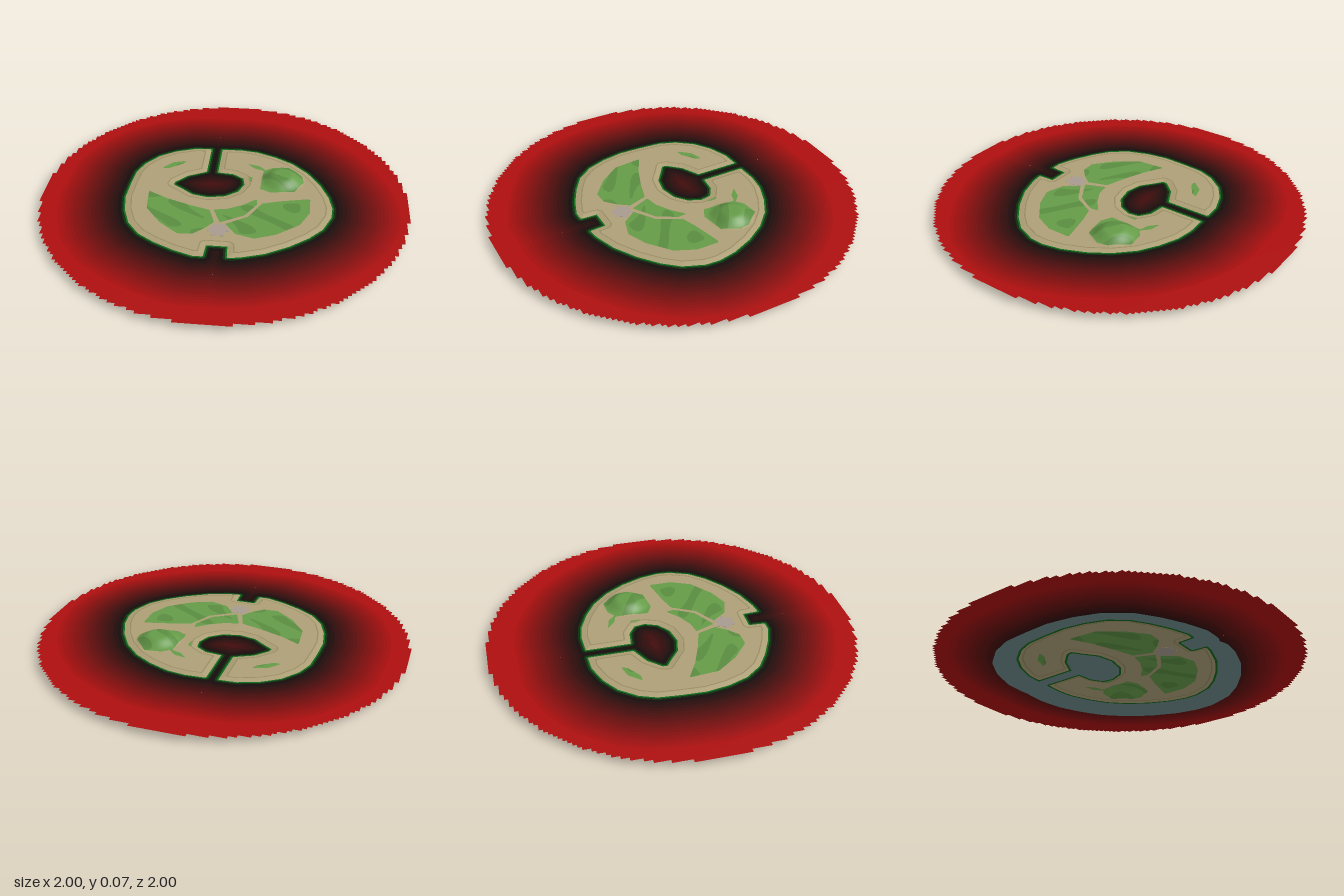
import * as THREE from 'three';

// Island coastline as [x, z], including the back channel, lagoon and front dock notch
const COAST = [
  [-0.06, -0.485], [0.05, -0.49], [0.15, -0.475], [0.26, -0.43], [0.36, -0.37], [0.45, -0.28], [0.52, -0.17],
  [0.57, -0.05], [0.59, 0.05], [0.585, 0.13], [0.54, 0.24], [0.47, 0.32], [0.37, 0.4], [0.25, 0.47],
  [0.13, 0.51], [0.065, 0.52], [0.06, 0.43], [-0.05, 0.43], [-0.055, 0.52], [-0.11, 0.52], [-0.21, 0.485],
  [-0.32, 0.43], [-0.41, 0.37], [-0.48, 0.28], [-0.52, 0.17], [-0.54, 0.05], [-0.535, -0.08], [-0.525, -0.2],
  [-0.49, -0.29], [-0.42, -0.38], [-0.33, -0.44], [-0.22, -0.48], [-0.125, -0.485],
  [-0.125, -0.24], [-0.225, -0.19], [-0.29, -0.12], [-0.295, -0.095], [-0.245, -0.06], [-0.18, -0.01],
  [-0.09, 0.01], [0.005, -0.01], [0.07, -0.06], [0.1, -0.13], [0.09, -0.19], [0.03, -0.23], [-0.06, -0.24],
];

// Lawns; the gaps between them read as sand paths
const LAWNS = [
  [[-0.42, -0.01], [-0.31, 0.05], [-0.18, 0.1], [-0.065, 0.135], [-0.03, 0.24], [-0.075, 0.3], [-0.13, 0.35],
    [-0.21, 0.355], [-0.315, 0.27], [-0.405, 0.15]],
  [[0.03, 0.25], [0.145, 0.175], [0.21, 0.05], [0.3, 0.02], [0.47, -0.02], [0.47, 0.11], [0.42, 0.22],
    [0.3, 0.315], [0.19, 0.36], [0.09, 0.33]],
  [[-0.045, 0.13], [0.03, 0.115], [0.11, 0.07], [0.18, 0.01], [0.185, 0.06], [0.125, 0.165], [0, 0.24]],
  [[-0.39, -0.24], [-0.33, -0.31], [-0.25, -0.335], [-0.27, -0.3], [-0.34, -0.25]],
  [[0.1, -0.335], [0.17, -0.32], [0.22, -0.27], [0.15, -0.29]],
  [[0.11, -0.21], [0.14, -0.2], [0.14, -0.15], [0.12, -0.16]],
  [[0.2, -0.27], [0.25, -0.31], [0.34, -0.32], [0.42, -0.23], [0.43, -0.17], [0.38, -0.08], [0.25, -0.06], [0.19, -0.09]],
];

const WATER_Y = 0.03;

// Signed distance to a polygon, negative inside
function signedDistance(poly, x, z) {
  let best = Infinity, inside = false;
  for (let i = 0, j = poly.length - 1; i < poly.length; j = i++) {
    const [ax, az] = poly[i], [bx, bz] = poly[j];
    const ex = bx - ax, ez = bz - az;
    const t = THREE.MathUtils.clamp(((x - ax) * ex + (z - az) * ez) / (ex * ex + ez * ez), 0, 1);
    best = Math.min(best, Math.hypot(x - ax - t * ex, z - az - t * ez));
    if ((az > z) !== (bz > z) && x < ax + ((z - az) / ez) * ex) inside = !inside;
  }
  return inside ? -best : best;
}

const coast = (x, z) => signedDistance(COAST, x, z);
const lawn = (x, z) => Math.min(...LAWNS.map((p) => signedDistance(p, x, z)));
const dapple = (x, z) => Math.sin(x * 31 + 3 * Math.sin(z * 17)) + Math.sin(z * 37 - x * 19);

// Flat island with sloping shores and one rounded hill
function groundHeight(x, z, d = coast(x, z)) {
  const hill = 1 - THREE.MathUtils.smoothstep(Math.hypot(x - 0.31, z + 0.19), 0.045, 0.13);
  return THREE.MathUtils.clamp(WATER_Y - 0.24 * d, 0, 0.037) + 0.037 * hill;
}

// Grid of [x, z, ...field values], sampled once
function sampleGrid(step, fields) {
  const n = Math.round(2 / step), rows = [];
  for (let j = 0; j <= n; j++) {
    rows.push([]);
    for (let i = 0; i <= n; i++) {
      const x = -1 + i * step, z = -1 + j * step;
      rows[j].push([x, z, ...fields.map((f) => f(x, z))]);
    }
  }
  return rows;
}

// Keep the part of a polygon where field k is on the wanted side of a limit
function clip(poly, k, limit, sign) {
  const out = [];
  poly.forEach((a, i) => {
    const b = poly[(i + 1) % poly.length];
    const fa = sign * (a[k] - limit), fb = sign * (b[k] - limit);
    if (fa >= 0) out.push(a);
    if ((fa > 0 && fb < 0) || (fa < 0 && fb > 0)) out.push(a.map((v, c) => v + (b[c] - v) * (fa / (fa - fb))));
  });
  return out;
}

// Mesh of the grid area meeting all [field, limit, sign] rules
function region(name, color, grid, rules, height) {
  const pos = [], nor = [], e = 0.004;
  const cells = grid.length - 1;
  for (let j = 0; j < cells; j++) for (let i = 0; i < cells; i++) {
    // Sea edge is stepped in squares of 0.02
    const cx = (Math.floor((i * 100) / cells) + 0.5) / 50 - 1, cz = (Math.floor((j * 100) / cells) + 0.5) / 50 - 1;
    if (Math.hypot(cx, cz) > 1) continue;
    const a = grid[j][i], b = grid[j + 1][i], c = grid[j + 1][i + 1], d = grid[j][i + 1];
    if (rules.some(([k, lim, s]) => [a, b, c, d].every((p) => s * (p[k] - lim) < 0))) continue;
    const whole = rules.every(([k, lim, s]) => [a, b, c, d].every((p) => s * (p[k] - lim) >= 0));
    for (const tri of [[a, b, c], [a, c, d]]) {
      const poly = whole ? tri : rules.reduce((p, r) => clip(p, ...r), tri);
      for (let q = 1; q + 1 < poly.length; q++) for (const p of [poly[0], poly[q], poly[q + 1]]) {
        const [x, z] = p;
        if (!height) {
          pos.push(x, WATER_Y, z);
          nor.push(0, 1, 0);
          continue;
        }
        pos.push(x, height(x, z, p[2]), z);
        const v = new THREE.Vector3(height(x - e, z) - height(x + e, z), 2 * e, height(x, z - e) - height(x, z + e)).normalize();
        nor.push(v.x, v.y, v.z);
      }
    }
  }
  const geometry = new THREE.BufferGeometry();
  geometry.setAttribute('position', new THREE.Float32BufferAttribute(pos, 3));
  geometry.setAttribute('normal', new THREE.Float32BufferAttribute(nor, 3));
  const mesh = new THREE.Mesh(geometry, new THREE.MeshStandardMaterial({ color, side: THREE.DoubleSide }));
  mesh.name = name;
  return mesh;
}

export function createModel() {
  const model = new THREE.Group();
  model.name = 'island';
  const fine = sampleGrid(0.01, [coast, lawn, dapple]);
  const coarse = sampleGrid(0.02, [coast]);
  const D = 2, LAWN = 3, DAPPLE = 4;

  // Ground: sand, worn line along the shore, lawns and the underwater slope
  const ground = new THREE.Group();
  ground.name = 'ground';
  const addGround = (name, color, rules) => ground.add(region(name, color, fine, rules, groundHeight));
  addGround('sand', 0xad9f76, [[D, -0.036, -1], [LAWN, 0, 1]]);
  addGround('shoreLine', 0x978b62, [[D, -0.036, 1], [D, -0.029, -1]]);
  addGround('beach', 0xad9f76, [[D, -0.029, 1], [D, 0, -1]]);
  addGround('lawn', 0x659b48, [[LAWN, 0, -1], [DAPPLE, 0.7, -1]]);
  addGround('darkLawn', 0x5a8d40, [[LAWN, 0, -1], [DAPPLE, 0.7, 1]]);
  addGround('seabedSlope', 0x6b8787, [[D, 0, 1], [D, 0.125, -1]]);
  model.add(ground);

  // Water: green rim at the coast, then black fading to red
  const water = new THREE.Group();
  water.name = 'water';
  water.add(region('greenRim', 0x0d6a16, fine, [[D, -0.012, 1], [D, 0.009, -1]]));
  water.add(region('darkRim', 0x0c2a0e, fine, [[D, 0.009, 1], [D, 0.02, -1]]));
  const bands = 18, near = 0.02, far = 0.38;
  for (let i = 0; i < bands; i++) {
    const lo = near + ((far - near) * i) / bands, hi = near + ((far - near) * (i + 1)) / bands;
    const t = Math.pow(i / (bands - 1), 0.9);
    const color = new THREE.Color().setRGB(0.08 + 0.6 * t, 0.045 + 0.01 * t, 0.04 + 0.015 * t, THREE.SRGBColorSpace);
    const rules = [[D, lo, 1]];
    if (i < bands - 1) rules.push([D, hi, -1]);
    water.add(region('waterBand', color, lo < 0.13 ? fine : coarse, rules));
  }
  model.add(water);

  // Paved plaza where the paths meet, with small corner bays
  const plaza = new THREE.Group();
  plaza.name = 'plaza';
  const paving = new THREE.MeshStandardMaterial({ color: 0xa79b90 });
  const addDisc = (name, r, x, z) => {
    const disc = new THREE.Mesh(new THREE.CylinderGeometry(r, r, 0.002, 20), paving);
    disc.name = name;
    disc.position.set(x, 0.037, z);
    plaza.add(disc);
  };
  addDisc('plazaFloor', 0.045, 0, 0.305);
  for (let i = 0; i < 6; i++) {
    const a = (i * Math.PI) / 3;
    addDisc('plazaBay', 0.012, 0.047 * Math.cos(a), 0.305 + 0.047 * Math.sin(a));
  }
  model.add(plaza);
  return model;
}
